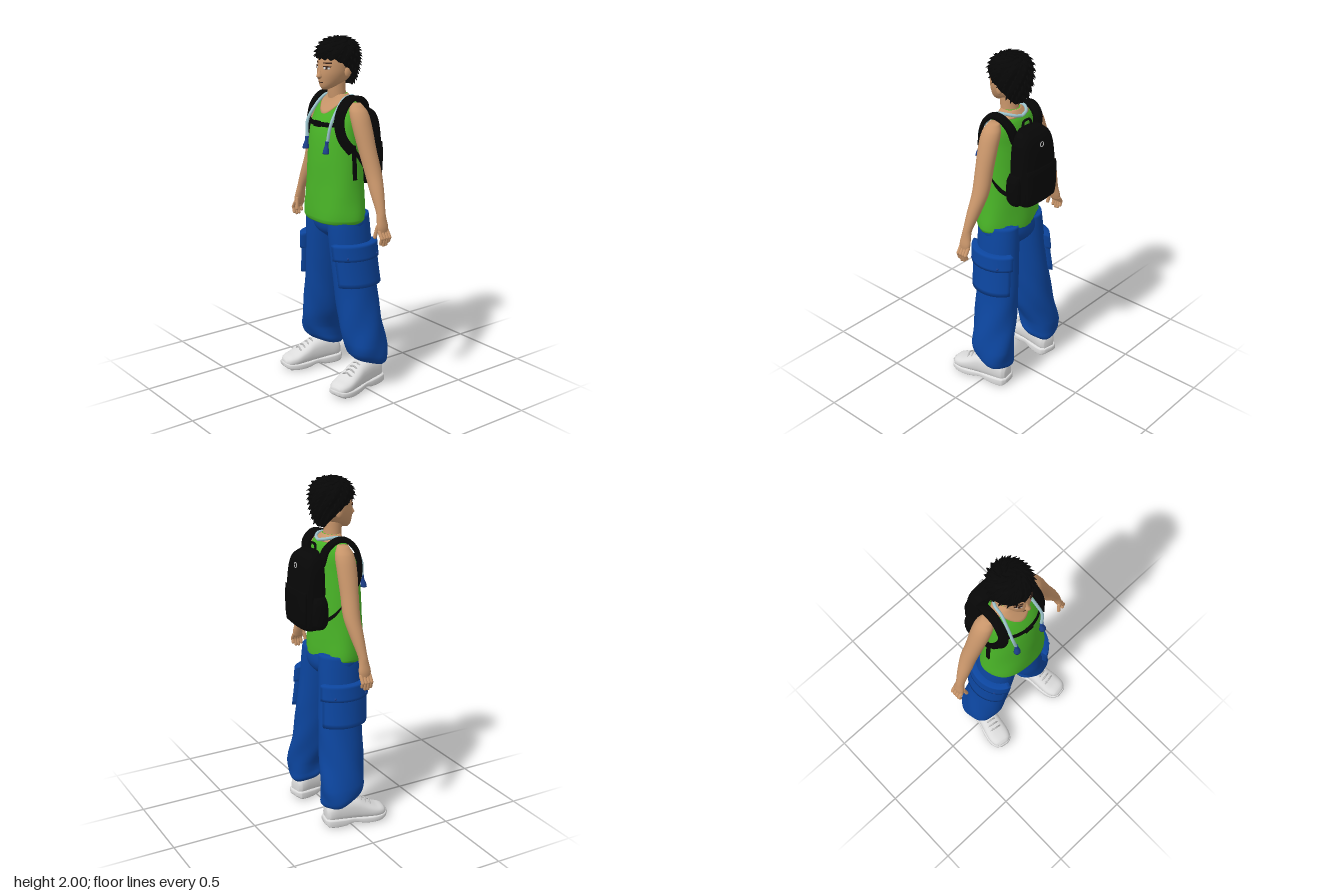
import * as THREE from 'three';
import { mergeGeometries } from 'three/addons/utils/BufferGeometryUtils.js';

const mat = (name, color, side = THREE.FrontSide) => {
  const m = new THREE.MeshStandardMaterial({ color, side });
  m.name = name;
  return m;
};
const V = (x, y, z) => new THREE.Vector3(x, y, z);
const rad = (d) => d * Math.PI / 180;
const spow = (v, p) => Math.sign(v) * Math.abs(v) ** p;

// A ring is [y, centreX, centreZ, radiusX, radiusZ, squareness]; values are smoothed between rings
function ringAt(rings, y) {
  let i = 0;
  while (i < rings.length - 2 && y > rings[i + 1][0]) i++;
  const a = rings[i], b = rings[i + 1], h = b[0] - a[0];
  const u = THREE.MathUtils.clamp((y - a[0]) / h, 0, 1);
  const p = rings[Math.max(i - 1, 0)], q = rings[Math.min(i + 2, rings.length - 1)];
  return [1, 2, 3, 4, 5].map((k) => {
    const g = (r) => r[k] ?? 1;
    const m0 = (g(b) - g(p)) / (b[0] - p[0]) * h, m1 = (g(q) - g(a)) / (q[0] - a[0]) * h;
    const u2 = u * u, u3 = u2 * u;
    return (2 * u3 - 3 * u2 + 1) * g(a) + (u3 - 2 * u2 + u) * m0 + (3 * u2 - 2 * u3) * g(b) + (u3 - u2) * m1;
  });
}
function surf(rings, y, t, off = 0) {
  const [cx, cz, rx, rz, p] = ringAt(rings, y);
  return V(cx + (rx + off) * spow(Math.cos(t), p), y, cz + (rz + off) * spow(Math.sin(t), p));
}
function build(pts, idx) {
  const g = new THREE.BufferGeometry();
  g.setAttribute('position', new THREE.Float32BufferAttribute(pts.flatMap((v) => [v.x, v.y, v.z]), 3));
  g.setIndex(idx);
  g.computeVertexNormals();
  return g;
}
// Closed body through the rings, with capped ends
function loft(rings, n = 32, bump = () => 0) {
  const ys = [rings[0][0]], pts = [], idx = [];
  for (let i = 1; i < rings.length; i++)
    for (let k = 1; k <= 4; k++) ys.push(rings[i - 1][0] + (rings[i][0] - rings[i - 1][0]) * k / 4);
  ys.forEach((y, i) => {
    for (let j = 0; j < n; j++) {
      const t = j / n * Math.PI * 2, a = i * n + j, b = i * n + (j + 1) % n;
      pts.push(surf(rings, y, t, bump(t, y)));
      if (i < ys.length - 1) idx.push(a, a + n, b, b, a + n, b + n);
    }
  });
  const end = (ys.length - 1) * n, c = pts.length;
  for (const y of [ys[0], ys.at(-1)]) { const r = ringAt(rings, y); pts.push(V(r[0], y, r[1])); }
  for (let j = 0; j < n; j++) {
    const k = (j + 1) % n;
    idx.push(c, j, k, c + 1, end + k, end + j);
  }
  return build(pts, idx);
}
// Raised panel lying on a ring surface, its border tucked into that surface
function patch(rings, y0, y1, d0, d1, off, n = 16, m = 8, bump = () => 0) {
  const pts = [], idx = [], full = d1 - d0 >= 360;
  for (let i = 0; i <= m; i++) for (let j = 0; j <= n; j++) {
    const t = rad(d0 + (d1 - d0) * j / n), low = typeof y0 === 'function' ? y0(t) : y0;
    const edge = i === 0 || i === m || (!full && (j === 0 || j === n));
    const k = Math.min(Math.max((i - 1) / (m - 2), 0), 1), l = full ? j / n : Math.min(Math.max((j - 1) / (n - 2), 0), 1);
    const y = low + (y1 - low) * k, tt = rad(d0 + (d1 - d0) * l);
    pts.push(surf(rings, y, tt, edge ? -0.004 : off + bump(tt, y)));
    const a = i * (n + 1) + j;
    if (i < m && j < n) idx.push(a, a + n + 1, a + 1, a + 1, a + n + 1, a + n + 2);
  }
  return build(pts, idx);
}
// Flat band along a curve; its width direction turns from s0 to s1
function ribbon(points, w, th, s0, s1 = s0, n = 24) {
  const curve = new THREE.CatmullRomCurve3(points.map((p) => V(...p))), pts = [], idx = [];
  for (let i = 0; i <= n; i++) {
    const p = curve.getPoint(i / n), tan = curve.getTangent(i / n);
    const s = V(...s0).lerp(V(...s1), i / n);
    s.addScaledVector(tan, -s.dot(tan)).normalize();
    const nn = tan.clone().cross(s);
    for (const [a, b] of [[-1, -1], [1, -1], [1, 1], [-1, 1]])
      pts.push(p.clone().addScaledVector(s, a * w / 2).addScaledVector(nn, b * th / 2));
    for (let k = 0; k < 4 && i < n; k++) {
      const a = i * 4 + k, b = i * 4 + (k + 1) % 4;
      idx.push(a, b, a + 4, b, b + 4, a + 4);
    }
  }
  const e = n * 4;
  idx.push(0, 2, 1, 0, 3, 2, e, e + 1, e + 2, e, e + 2, e + 3);
  return build(pts, idx);
}
const tube = (points, r, n = 24) => new THREE.TubeGeometry(new THREE.CatmullRomCurve3(points.map((p) => V(...p))), n, r, 8);
const ball = (x, y, z, a, b, c) => new THREE.SphereGeometry(1, 16, 12).scale(a, b, c).translate(x, y, z);
const box = (x, y, z, a, b, c) => new THREE.BoxGeometry(a, b, c).translate(x, y, z);
function limb(a, b, r) {
  const d = V(...b).sub(V(...a)), mid = V(...a).addScaledVector(d, 0.5);
  return new THREE.CapsuleGeometry(r, d.length(), 4, 10)
    .applyQuaternion(new THREE.Quaternion().setFromUnitVectors(V(0, 1, 0), d.normalize())).translate(mid.x, mid.y, mid.z);
}

export function createModel() {
  const model = new THREE.Group();
  const skin = mat('skin', 0xc8956a), green = mat('green cloth', 0x49b427), blue = mat('blue cloth', 0x0c459e);
  const black = mat('black fabric', 0x070707, THREE.DoubleSide), white = mat('shoe white', 0xdcdcdc);
  const grey = mat('sole grey', 0xbcbcbc), cord = mat('pale blue cord', 0x9cc3cc), navy = mat('tassel blue', 0x1c3f8c);
  const dark = mat('face line brown', 0x3a241a);
  const add = (name, geo, m) => {
    const mesh = new THREE.Mesh(geo, m);
    mesh.name = name;
    model.add(mesh);
  };
  const pair = (name, geo, m) => {
    add(name + 'Left', geo, m);
    const g = geo.clone().scale(-1, 1, 1), ix = g.index.array;
    for (let i = 0; i < ix.length; i += 3) [ix[i], ix[i + 1]] = [ix[i + 1], ix[i]];
    add(name + 'Right', g, m);
  };

  // Head, neck and face
  const head = [[1.713, 0, 0.095, 0.015, 0.016], [1.73, 0, 0.075, 0.04, 0.048], [1.76, 0, 0.045, 0.066, 0.084],
    [1.8, 0, 0.03, 0.083, 0.103], [1.84, 0, 0.02, 0.09, 0.11], [1.88, 0, 0.012, 0.092, 0.112],
    [1.93, 0, 0.005, 0.084, 0.104], [1.97, 0, 0, 0.04, 0.05]];
  add('head', loft(head), skin);
  add('neck', loft([[1.6, 0, 0, 0.06, 0.055], [1.68, 0, 0.015, 0.052, 0.05], [1.77, 0, 0.02, 0.05, 0.05]]), skin);
  pair('ear', ball(0.091, 1.81, 0.01, 0.012, 0.03, 0.02), skin);
  add('nose', loft([[1.778, 0, 0.13, 0.012, 0.012], [1.788, 0, 0.132, 0.016, 0.021], [1.815, 0, 0.127, 0.009, 0.013], [1.845, 0, 0.124, 0.006, 0.006]], 16), skin);
  add('noseShadow', box(0, 1.779, 0.138, 0.016, 0.005, 0.009), dark);
  add('mouth', patch(head, 1.752, 1.756, 72, 108, 0.002), dark);
  pair('eyeWhite', patch(head, 1.828, 1.841, 50, 72, 0.002), white);
  pair('iris', patch(head, 1.828, 1.841, 58, 65, 0.0035), dark);
  pair('eyelid', patch(head, 1.84, 1.845, 47, 74, 0.004), dark);
  pair('eyebrow', patch(head, 1.858, 1.864, 46, 76, 0.003), dark);

  // Short tousled hair: a shell with a curved hairline and pointed tufts
  const hair = [[1.71, 0, -0.015, 0.05, 0.05], [1.77, 0, -0.005, 0.085, 0.088], [1.83, 0, 0.003, 0.107, 0.112],
    [1.9, 0, 0.008, 0.116, 0.12], [1.95, 0, 0.006, 0.1, 0.105], [1.98, 0, 0.004, 0.062, 0.064], [1.992, 0, 0, 0.004, 0.004]];
  const hairline = (t) => {
    const s = Math.sin(t);
    return s > 0 ? 1.82 + 0.06 * Math.min(1, s * 1.5) + 0.006 * Math.sin(t * 18) : 1.82 - 0.09 * Math.min(1, -s * 1.4);
  };
  add('hair', patch(hair, hairline, 1.992, 0, 360, 0, 72, 18, (t, y) => 0.003 * Math.sin(9 * t + y * 60)), black);
  const tufts = [];
  for (let i = 0; i < 190; i++) {
    const t = i * 2.39996, y = 1.988 - 0.235 * (i / 190) ** 1.2;
    if (y < hairline(t) + 0.012) continue;
    const p = surf(hair, y, t, -0.006), n = p.clone().sub(V(0, 1.87, 0)).normalize();
    const d = n.clone().multiplyScalar(0.6).add(V(-0.35 * Math.sin(t), -0.45, 0.35 * Math.cos(t))).normalize();
    tufts.push(new THREE.ConeGeometry(0.014, 0.045, 5).translate(0, 0.008, 0)
      .applyQuaternion(new THREE.Quaternion().setFromUnitVectors(V(0, 1, 0), d)).translate(p.x, p.y, p.z));
  }
  add('hairTufts', mergeGeometries(tufts), black);

  // Sleeveless top with a scooped neckline
  const torso = [[0.975, 0, 0.03, 0.198, 0.14], [1.0, 0, 0.03, 0.209, 0.147], [1.1, 0, 0.03, 0.2, 0.145],
    [1.2, 0, 0.03, 0.191, 0.14], [1.35, 0, 0.03, 0.18, 0.134], [1.5, 0, 0.025, 0.17, 0.12], [1.58, 0, 0.01, 0.163, 0.1],
    [1.63, 0, 0, 0.14, 0.078], [1.66, 0, 0, 0.095, 0.06], [1.685, 0, 0.005, 0.055, 0.048]];
  add('tankTop', loft(torso, 48, (t, y) => 0.004 * Math.sin(5 * t + y * 9) * Math.max(0, 1.35 - y) * 2.5), green);
  add('neckline', patch(torso, (t) => 1.65 - 0.07 * Math.max(0, Math.sin(t)) ** 8, 1.685, 0, 360, 0.003, 64, 10), skin);

  // Arms and hands
  pair('arm', loft([[0.965, 0.392, 0, 0.014, 0.03], [1.0, 0.387, 0, 0.02, 0.036], [1.04, 0.378, 0, 0.022, 0.03], [1.08, 0.367, -0.002, 0.026, 0.026],
    [1.18, 0.322, -0.012, 0.042, 0.037], [1.28, 0.278, -0.02, 0.049, 0.046], [1.4, 0.237, -0.012, 0.051, 0.05],
    [1.52, 0.199, -0.006, 0.052, 0.056], [1.6, 0.168, -0.004, 0.05, 0.052], [1.645, 0.145, -0.002, 0.03, 0.03]], 24), skin);
  [-0.027, -0.009, 0.009, 0.027].forEach((z, i) => {
    const tip = 0.905 + [0.018, 0.002, 0, 0.01][i];
    pair('finger' + i, limb([0.392, 0.98, z], [0.414, 0.945, z], 0.0105), skin);
    pair('fingertip' + i, limb([0.414, 0.945, z], [0.405, tip, z], 0.0095), skin);
  });
  pair('thumb', limb([0.376, 1.005, 0.026], [0.365, 0.945, 0.036], 0.0105), skin);

  // Baggy trousers with cargo pockets
  const leg = [[0.145, 0.2, -0.05, 0.09, 0.09], [0.165, 0.205, -0.045, 0.106, 0.112], [0.2, 0.21, -0.038, 0.11, 0.122],
    [0.26, 0.206, -0.033, 0.11, 0.131], [0.4, 0.17, -0.02, 0.117, 0.13], [0.6, 0.138, -0.01, 0.108, 0.13],
    [0.8, 0.115, 0.003, 0.104, 0.13], [0.95, 0.102, 0.01, 0.102, 0.13], [1.02, 0.097, 0.01, 0.098, 0.125]];
  const legGeo = loft(leg, 40, (t, y) => 0.006 * Math.sin(4 * t + y * 22) * Math.max(0, 0.7 - y) * 1.6);
  const lp = legGeo.attributes.position;
  for (let i = 0; i < lp.count; i++) { // hem rises over the instep
    const y = lp.getY(i);
    if (y < 0.35) lp.setY(i, y + (lp.getZ(i) + 0.06) * 0.3 * (0.35 - y) / 0.2);
  }
  legGeo.computeVertexNormals();
  pair('trouserLeg', legGeo, blue);
  add('trouserSeat', loft([[0.87, 0, 0.005, 0.07, 0.07], [0.91, 0, 0.008, 0.16, 0.115], [0.96, 0, 0.01, 0.202, 0.132], [1.03, 0, 0.015, 0.195, 0.13]]), blue);
  pair('cargoPocket', patch(leg, 0.62, 0.82, -66, 72, 0.026, 20, 10), blue);
  pair('pocketFlap', patch(leg, 0.775, 0.865, -70, 76, 0.034, 20, 8), blue);
  for (const d of [-35, 40]) {
    const p = surf(leg, 0.795, rad(d), 0.034);
    pair('pocketButton', ball(p.x, p.y, p.z, 0.007, 0.007, 0.007), navy);
  }

  // Trainers, turned slightly outwards
  const place = (g) => g.rotateY(rad(10)).translate(0.222, 0, 0.042);
  const along = (rows) => place(loft(rows.map(([z, lo, hi, w, p]) => [z, 0, -(lo + hi) / 2, w, (hi - lo) / 2, p]), 28).rotateX(Math.PI / 2));
  pair('shoe', along([[-0.182, 0.035, 0.11, 0.035, 0.8], [-0.16, 0.025, 0.14, 0.055, 0.8], [-0.09, 0.02, 0.17, 0.06, 0.8], [0, 0.02, 0.158, 0.063, 0.8],
    [0.06, 0.02, 0.125, 0.067, 0.8], [0.12, 0.02, 0.095, 0.068, 0.8], [0.165, 0.02, 0.08, 0.055, 0.8], [0.186, 0.025, 0.06, 0.03, 0.8]]), white);
  pair('shoeSole', along([[-0.192, 0.02, 0.05, 0.035, 0.5], [-0.17, 0.003, 0.055, 0.062, 0.4], [-0.08, 0, 0.05, 0.066, 0.4], [-0.02, 0.014, 0.046, 0.062, 0.4],
    [0.05, 0.001, 0.042, 0.071, 0.4], [0.12, 0, 0.042, 0.073, 0.4], [0.17, 0.01, 0.046, 0.058, 0.5], [0.192, 0.025, 0.05, 0.03, 0.5]]), white);
  for (let i = 0; i < 4; i++) {
    const z = 0.0 + i * 0.027, y = 0.161 - i * 0.0125;
    pair('shoelace', place(tube([[-0.04, y - 0.022, z], [0, y + 0.001, z + 0.006], [0.04, y - 0.022, z]], 0.005, 10)), grey);
  }
  for (const z of [-0.15, -0.11, -0.07, 0.05, 0.085, 0.12, 0.15])
    pair('soleTread', place(box(0, 0.004, z, 0.1, 0.008, 0.014)), grey);

  // Backpack with pockets, handle and zip pull
  const pack = [[1.17, 0, -0.15, 0.1, 0.05, 0.6], [1.195, 0, -0.153, 0.13, 0.068, 0.6], [1.35, 0, -0.152, 0.139, 0.074, 0.6],
    [1.5, 0, -0.147, 0.13, 0.069, 0.6], [1.57, 0, -0.14, 0.11, 0.055, 0.6], [1.605, 0, -0.125, 0.075, 0.03, 0.7]];
  add('backpack', loft(pack, 40), black);
  add('backpackFrontPocket', patch(pack, 1.2, 1.4, -140, -40, 0.008), black);
  pair('backpackSidePocket', loft([[1.19, 0.135, -0.14, 0.02, 0.03], [1.22, 0.142, -0.14, 0.031, 0.045], [1.33, 0.144, -0.14, 0.031, 0.045], [1.37, 0.135, -0.14, 0.022, 0.035]], 20), black);
  add('backpackHandle', tube([[-0.035, 1.595, -0.11], [-0.025, 1.635, -0.105], [0.025, 1.635, -0.105], [0.035, 1.595, -0.11]], 0.007), black);
  add('zipPull', new THREE.TorusGeometry(0.014, 0.0025, 6, 16).translate(0, 1.53, -0.214), grey);

  // Shoulder straps, hanging strap ends and chest strap
  pair('shoulderStrap', ribbon([[0.085, 1.54, -0.1], [0.115, 1.625, -0.085], [0.128, 1.67, -0.03], [0.13, 1.668, 0.025], [0.135, 1.62, 0.08],
    [0.138, 1.55, 0.105], [0.154, 1.46, 0.095], [0.178, 1.385, 0.045]], 0.052, 0.022, [1, 0, 0], [0.6, 0, -0.8], 40), black);
  pair('strapEnd', ribbon([[0.181, 1.42, 0.04], [0.19, 1.33, 0.04], [0.196, 1.23, 0.04]], 0.024, 0.008, [0, 0, 1]), black);
  pair('lowerStrap', ribbon([[0.182, 1.4, 0.04], [0.185, 1.32, -0.02], [0.165, 1.26, -0.07], [0.12, 1.22, -0.11]], 0.022, 0.008, [0, 0.7, 0.7]), black);
  add('chestStrap', ribbon([[-0.14, 1.535, 0.1], [-0.07, 1.53, 0.138], [0, 1.53, 0.15], [0.07, 1.53, 0.138], [0.14, 1.535, 0.1]], 0.024, 0.01, [0, 1, 0]), black);
  add('chestBuckle', box(0, 1.53, 0.152, 0.05, 0.032, 0.014), black);

  // Cord around the neck with a tassel at each end
  pair('cord', tube([[0.092, 1.43, 0.152], [0.106, 1.53, 0.14], [0.1, 1.6, 0.098], [0.088, 1.665, 0.035], [0.08, 1.675, -0.02], [0.045, 1.665, -0.062], [0, 1.655, -0.075]], 0.009, 40), cord);
  pair('tassel', loft([[1.378, 0.094, 0.163, 0.02, 0.018], [1.4, 0.093, 0.161, 0.016, 0.015], [1.425, 0.092, 0.156, 0.01, 0.01], [1.445, 0.093, 0.153, 0.011, 0.011]], 12), navy);
  return model;
}
